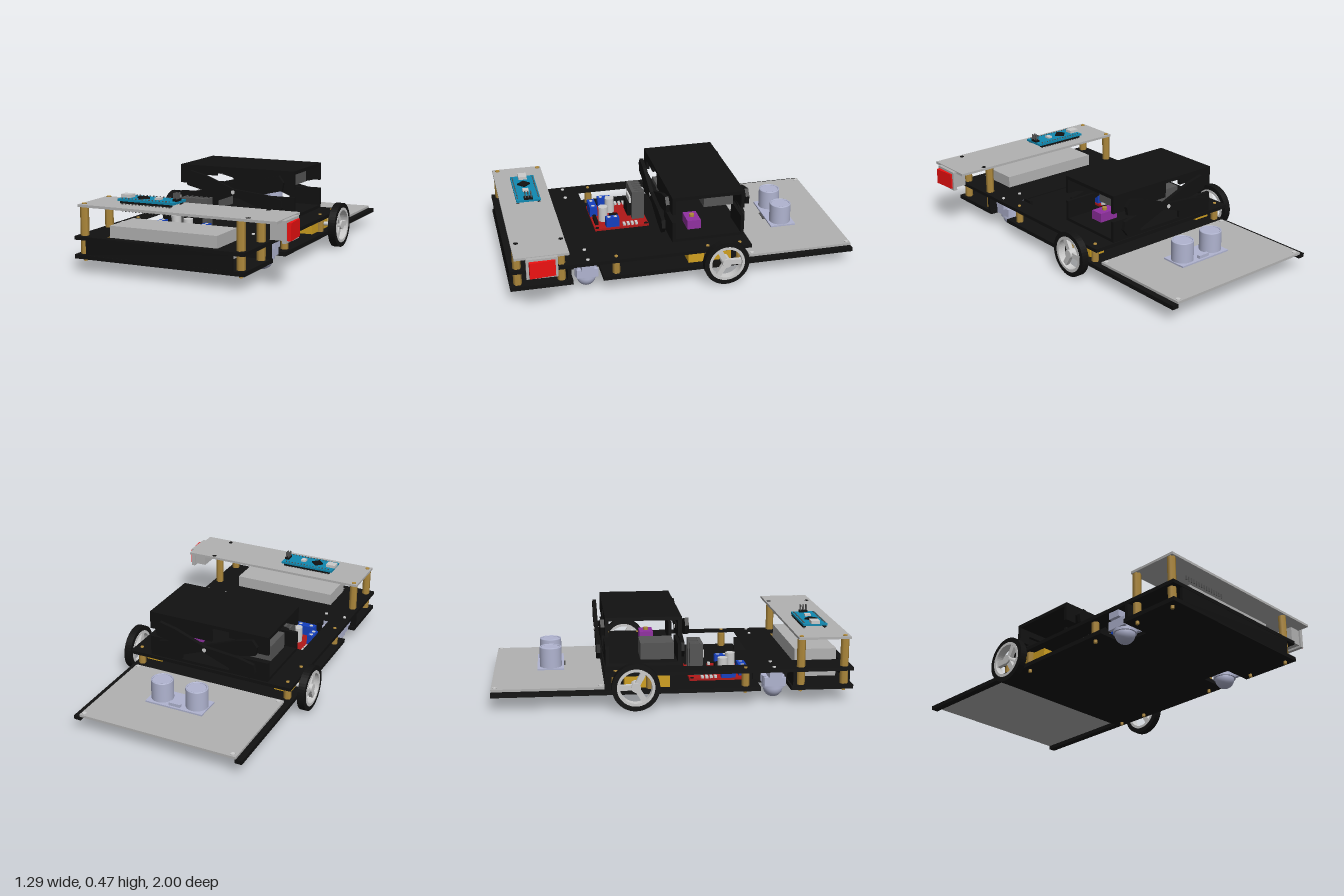
import * as THREE from 'three';

const mat = (color) => new THREE.MeshStandardMaterial({ color });
const M = {
  black: mat(0x111111), grey: mat(0xb2b2b2), dark: mat(0x555555), brass: mat(0xb08a3c),
  lilac: mat(0xb0b4d0), red: mat(0xb01818), bright: mat(0xee1111), blue: mat(0x1440c0),
  cyan: mat(0x1088b0), silver: mat(0xcccccc), yellow: mat(0xd0a020), purple: mat(0x9030a0),
};

function add(parent, name, geo, m, x = 0, y = 0, z = 0) {
  const mesh = new THREE.Mesh(geo, m);
  mesh.name = name;
  mesh.position.set(x, y, z);
  parent.add(mesh);
  return mesh;
}

// Box given by its min and max on each axis
function box(parent, name, m, x0, x1, y0, y1, z0, z1) {
  return add(parent, name, new THREE.BoxGeometry(x1 - x0, y1 - y0, z1 - z0), m,
    (x0 + x1) / 2, (y0 + y1) / 2, (z0 + z1) / 2);
}

// Upright cylinder from y0 to y1
function post(parent, name, m, x, z, r, y0, y1, sides = 24) {
  return add(parent, name, new THREE.CylinderGeometry(r, r, y1 - y0, sides), m, x, (y0 + y1) / 2, z);
}

const outline = (pts) => new THREE.Shape(pts.map(([x, z]) => new THREE.Vector2(x, z)));

// Horizontal sheet from an (x, z) outline, with optional holes
function sheet(parent, name, m, pts, y0, y1, holes = []) {
  const s = outline(pts.map(([x, z]) => [x, -z]));
  holes.forEach((h) => s.holes.push(outline(h.map(([x, z]) => [x, -z]))));
  const g = new THREE.ExtrudeGeometry(s, { depth: y1 - y0, bevelEnabled: false });
  g.rotateX(-Math.PI / 2);
  return add(parent, name, g, m, 0, y0, 0);
}

const rect = (x0, x1, z0, z1) => [[x0, z0], [x1, z0], [x1, z1], [x0, z1]];
const L = -0.58, R = 0.43, MID = -0.075;

function chassis(root) {
  const g = new THREE.Group(); g.name = 'chassis'; root.add(g);
  // Lower plate: caster notches at the sides, open bay at the rear
  sheet(g, 'lowerPlate', M.black, [
    [L, 1], [L, 0.65], [-0.41, 0.65], [-0.41, 0.48], [L, 0.48], [L, -1], [-0.54, -1], [-0.54, -0.38],
    [0.39, -0.38], [0.39, -1], [R, -1], [R, 0.48], [0.26, 0.48], [0.26, 0.65], [R, 0.65], [R, 1],
  ], 0.075, 0.098);
  sheet(g, 'upperPlate', M.black, rect(L, R, -0.38, 1), 0.178, 0.198,
    [rect(-0.47, 0.32, 0.06, 0.47), rect(-0.4, 0.26, 0.69, 0.96)]);
  box(g, 'frontWall', M.black, -0.51, 0.36, 0.098, 0.178, 0.98, 0.998);
  box(g, 'crossWall', M.black, L, R, 0.098, 0.178, 0.66, 0.68);
  for (const x of [-0.41, 0.26]) box(g, 'casterWall', M.black, x - 0.008, x + 0.008, 0.09, 0.178, 0.46, 0.66);
  // Brass standoffs
  for (const x of [-0.54, 0.39]) {
    for (const z of [0.71, 0.955]) post(g, 'tallStandoff', M.brass, x, z, 0.024, 0.098, 0.355, 6);
    for (const z of [-0.32, -0.13, 0.4]) post(g, 'shortStandoff', M.brass, x, z, 0.022, 0.098, 0.178, 6);
    for (const z of [0.71, 0.955, -0.32, -0.13, 0.4]) {
      post(g, 'standoffTip', M.brass, x, z, 0.01, 0.058, 0.204, 12);
    }
  }
  box(g, 'battery', M.grey, -0.39, 0.25, 0.1, 0.26, 0.705, 0.945);
  sheet(g, 'rearPanel', M.grey, rect(-0.545, 0.395, -1, -0.38), 0.098, 0.112);
  for (const x of [-0.52, 0.375]) for (const z of [-0.98, -0.4]) post(g, 'panelScrew', M.silver, x, z, 0.012, 0.1, 0.117, 12);
}

function caster(root, x) {
  const g = new THREE.Group(); g.name = 'caster'; g.position.set(x, 0, 0.565); root.add(g);
  post(g, 'casterHousing', M.lilac, 0, 0, 0.064, 0.075, 0.14, 32);
  box(g, 'casterFlange', M.lilac, -0.085, 0.085, 0.14, 0.178, -0.035, 0.035);
  add(g, 'casterBall', new THREE.SphereGeometry(0.055, 32, 20), M.lilac, 0, 0.071, 0);
  for (const s of [-1, 1]) {
    post(g, 'casterScrew', M.silver, s * 0.06, -0.005, 0.01, 0.17, 0.204, 12);
    box(g, 'casterRib', M.lilac, s * 0.055 - 0.01, s * 0.055 + 0.01, 0.09, 0.14, -0.06, 0.06);
  }
}

// Ring with an axis along x
function ring(parent, name, m, r0, r1, w) {
  const pts = [[r0, -w / 2], [r1, -w / 2], [r1, w / 2], [r0, w / 2], [r0, -w / 2]];
  const g = new THREE.LatheGeometry(pts.map(([r, y]) => new THREE.Vector2(r, y)), 48).toNonIndexed();
  g.computeVertexNormals();
  g.rotateZ(Math.PI / 2);
  return add(parent, name, g, m);
}

function wheel(root, side) {
  const g = new THREE.Group(); g.name = side > 0 ? 'leftWheel' : 'rightWheel';
  g.position.set(MID + side * 0.553, 0.131, -0.215); root.add(g);
  ring(g, 'tyre', M.black, 0.102, 0.131, 0.042);
  ring(g, 'rim', M.silver, 0.088, 0.104, 0.046);
  const hub = add(g, 'hub', new THREE.CylinderGeometry(0.026, 0.026, 0.07, 24), M.silver, -side * 0.012, 0, 0);
  hub.rotation.z = Math.PI / 2;
  for (let i = 0; i < 3; i++) {
    const arm = new THREE.Group(); arm.rotation.x = i * Math.PI * 2 / 3 + 0.5; g.add(arm);
    arm.name = 'spoke';
    box(arm, 'spokeBar', M.silver, -0.012, 0.012, 0.015, 0.095, -0.015, 0.015);
  }
  const axle = add(g, 'axle', new THREE.CylinderGeometry(0.012, 0.012, 0.14, 16), M.silver, -side * 0.08, 0, 0);
  axle.rotation.z = Math.PI / 2;
  // Gear motor between the plates
  const cx = MID + side * 0.41;
  box(root, 'gearMotor', M.yellow, cx - 0.05, cx + 0.05, 0.1, 0.175, -0.27, -0.02);
}

function lift(root) {
  const g = new THREE.Group(); g.name = 'scissorLift'; root.add(g);
  const x0 = -0.44, x1 = 0.3, z0 = -0.37, z1 = 0.055, t = 0.02;
  box(g, 'liftTop', M.black, x0, x1, 0.455, 0.475, z0, z1);
  box(g, 'liftBase', M.black, x0, x1, 0.198, 0.215, z0, z1);
  for (const z of [z0, z1 - t]) {
    box(g, 'topLeftCheek', M.black, -0.09, x1, 0.37, 0.457, z, z + t);
    box(g, 'topRightCheek', M.black, x0, -0.2, 0.42, 0.457, z, z + t);
    box(g, 'topRightTab', M.black, x0, -0.37, 0.365, 0.42, z, z + t);
    box(g, 'baseRightCheek', M.black, x0, -0.2, 0.21, 0.315, z, z + t);
    box(g, 'baseLeftCheek', M.black, 0.1, x1, 0.21, 0.32, z, z + t);
  }
  // Crossing arms, wide at the ends and slim at the pivot
  const hw = 0.3, arm = outline([
    [-hw, -0.045], [-0.2, -0.045], [0, -0.018], [0.2, -0.045], [hw, -0.045],
    [hw + 0.02, 0], [hw, 0.045], [0.2, 0.045], [0, 0.018], [-0.2, 0.045], [-hw, 0.045], [-hw - 0.02, 0],
  ]);
  const armGeo = new THREE.ExtrudeGeometry(arm, { depth: 0.022, bevelEnabled: false });
  for (const z of [0.056, -0.417]) {
    [1, -1].forEach((s, i) => {
      add(g, 'scissorArm', armGeo, M.black, MID + 0.005, 0.335, z + i * 0.024).rotation.z = s * 0.23;
    });
    const pin = add(g, 'pivotPin', new THREE.CylinderGeometry(0.012, 0.012, 0.052, 16), M.silver, MID + 0.005, 0.335, z + 0.022);
    pin.rotation.x = Math.PI / 2;
  }
  // Servos inside the lift
  box(g, 'lowerServo', M.dark, -0.37, -0.2, 0.215, 0.31, -0.17, 0.02);
  box(g, 'upperServo', M.dark, 0.05, 0.22, 0.36, 0.452, -0.325, -0.15);
  box(g, 'servoBracket', M.purple, 0.08, 0.2, 0.216, 0.27, -0.14, -0.06);
  post(g, 'servoGear', M.brass, 0.14, -0.1, 0.015, 0.27, 0.285, 16);
}

function motorDriver(root) {
  const g = new THREE.Group(); g.name = 'motorDriver'; root.add(g);
  box(g, 'driverBoard', M.red, -0.445, -0.115, 0.105, 0.118, 0.1, 0.43);
  // Finned heat sink
  box(g, 'heatSink', M.dark, -0.37, -0.2, 0.118, 0.298, 0.165, 0.185);
  for (let i = 0; i < 6; i++) {
    const x = -0.37 + i * 0.0316;
    box(g, 'heatSinkFin', M.dark, x, x + 0.012, 0.118, 0.298, 0.11, 0.17);
  }
  box(g, 'driverChip', M.black, -0.34, -0.23, 0.13, 0.21, 0.185, 0.21);
  box(g, 'chipTab', M.silver, -0.335, -0.235, 0.21, 0.25, 0.185, 0.195);
  for (const [x, z] of [[-0.34, 0.3], [-0.23, 0.36]]) post(g, 'capacitor', M.silver, x, z, 0.028, 0.118, 0.21);
  // Screw terminals
  for (const [x, z, w, d] of [[-0.428, 0.32, 0.04, 0.08], [-0.142, 0.32, 0.04, 0.08], [-0.35, 0.407, 0.12, 0.045]]) {
    box(g, 'terminal', M.blue, x - w / 2, x + w / 2, 0.118, 0.178, z - d / 2, z + d / 2);
    for (const s of [-1, 1]) {
      post(g, 'terminalScrew', M.silver, x + (w > d ? s * 0.035 : 0), z + (w > d ? 0 : s * 0.02), 0.011, 0.17, 0.18, 12);
    }
  }
  box(g, 'pinHeader', M.black, -0.27, -0.17, 0.118, 0.14, 0.4, 0.42);
  box(g, 'regulator', M.black, -0.25, -0.2, 0.118, 0.15, 0.27, 0.32);
  for (const x of [-0.43, -0.14]) {
    for (let i = 0; i < 4; i++) box(g, 'diode', M.silver, x - 0.017, x + 0.017, 0.118, 0.13, 0.165 + i * 0.025, 0.18 + i * 0.025);
  }
  for (const x of [-0.43, -0.13]) for (const z of [0.115, 0.415]) post(g, 'boardHole', M.black, x, z, 0.012, 0.1, 0.12, 12);
}

function controlDeck(root) {
  const g = new THREE.Group(); g.name = 'controlDeck'; root.add(g);
  box(g, 'deckPlate', M.grey, -0.565, 0.6, 0.355, 0.369, 0.69, 0.985);
  for (const z of [0.71, 0.955]) {
    post(g, 'deckScrew', M.brass, -0.54, z, 0.013, 0.36, 0.374, 12);
    post(g, 'deckScrew', M.black, 0.43, z, 0.013, 0.36, 0.371, 12);
  }
  // Rocker switch
  box(g, 'switchBody', M.grey, 0.53, 0.6, 0.26, 0.355, 0.77, 0.915);
  box(g, 'switchBezel', M.grey, 0.6, 0.622, 0.248, 0.365, 0.755, 0.925);
  const rocker = box(g, 'rocker', M.bright, 0.61, 0.638, 0.26, 0.352, 0.77, 0.91);
  rocker.rotation.y = 0.08;
  // Controller board
  box(g, 'controllerBoard', M.cyan, -0.37, -0.03, 0.388, 0.4, 0.755, 0.895);
  const chip = box(g, 'controllerChip', M.black, -0.275, -0.22, 0.4, 0.408, 0.8, 0.855);
  chip.rotation.y = Math.PI / 4;
  box(g, 'usbSocket', M.silver, -0.375, -0.315, 0.4, 0.418, 0.8, 0.85);
  box(g, 'resetButton', M.silver, -0.17, -0.14, 0.4, 0.412, 0.81, 0.845);
  box(g, 'header', M.black, -0.06, -0.032, 0.4, 0.412, 0.8, 0.85);
  for (let i = 0; i < 6; i++) {
    const x = -0.055 + (i % 2) * 0.016, z = 0.808 + Math.floor(i / 2) * 0.017;
    box(g, 'headerPin', M.dark, x - 0.003, x + 0.003, 0.41, 0.445, z - 0.003, z + 0.003);
  }
  for (const z of [0.765, 0.885]) {
    for (let i = 0; i < 15; i++) {
      const x = -0.345 + i * 0.0205;
      box(g, 'boardPin', M.dark, x - 0.003, x + 0.003, 0.33, 0.406, z - 0.003, z + 0.003);
    }
    box(g, 'pinStrip', M.black, -0.355, -0.045, 0.376, 0.388, z - 0.008, z + 0.008);
  }
}

function distanceSensor(root) {
  const g = new THREE.Group(); g.name = 'distanceSensor'; root.add(g);
  box(g, 'sensorBoard', M.lilac, -0.222, 0.126, 0.128, 0.137, -0.75, -0.597);
  for (const x of [-0.155, 0.058]) {
    post(g, 'sensorCan', M.lilac, x, -0.673, 0.063, 0.137, 0.248, 36);
    const rim = add(g, 'sensorRim', new THREE.TorusGeometry(0.058, 0.005, 8, 36), M.lilac, x, 0.248, -0.673);
    rim.rotation.x = Math.PI / 2;
  }
  box(g, 'sensorCrystal', M.lilac, -0.083, -0.013, 0.137, 0.155, -0.738, -0.718);
  for (let i = 0; i < 4; i++) box(g, 'sensorPin', M.dark, -0.083 + i * 0.022, -0.078 + i * 0.022, 0.118, 0.128, -0.62, -0.588);
}

export function createModel() {
  const root = new THREE.Group();
  root.name = 'robotCart';
  chassis(root);
  for (const x of [-0.483, 0.335]) caster(root, x);
  for (const s of [-1, 1]) wheel(root, s);
  lift(root);
  motorDriver(root);
  controlDeck(root);
  distanceSensor(root);
  return root;
}
